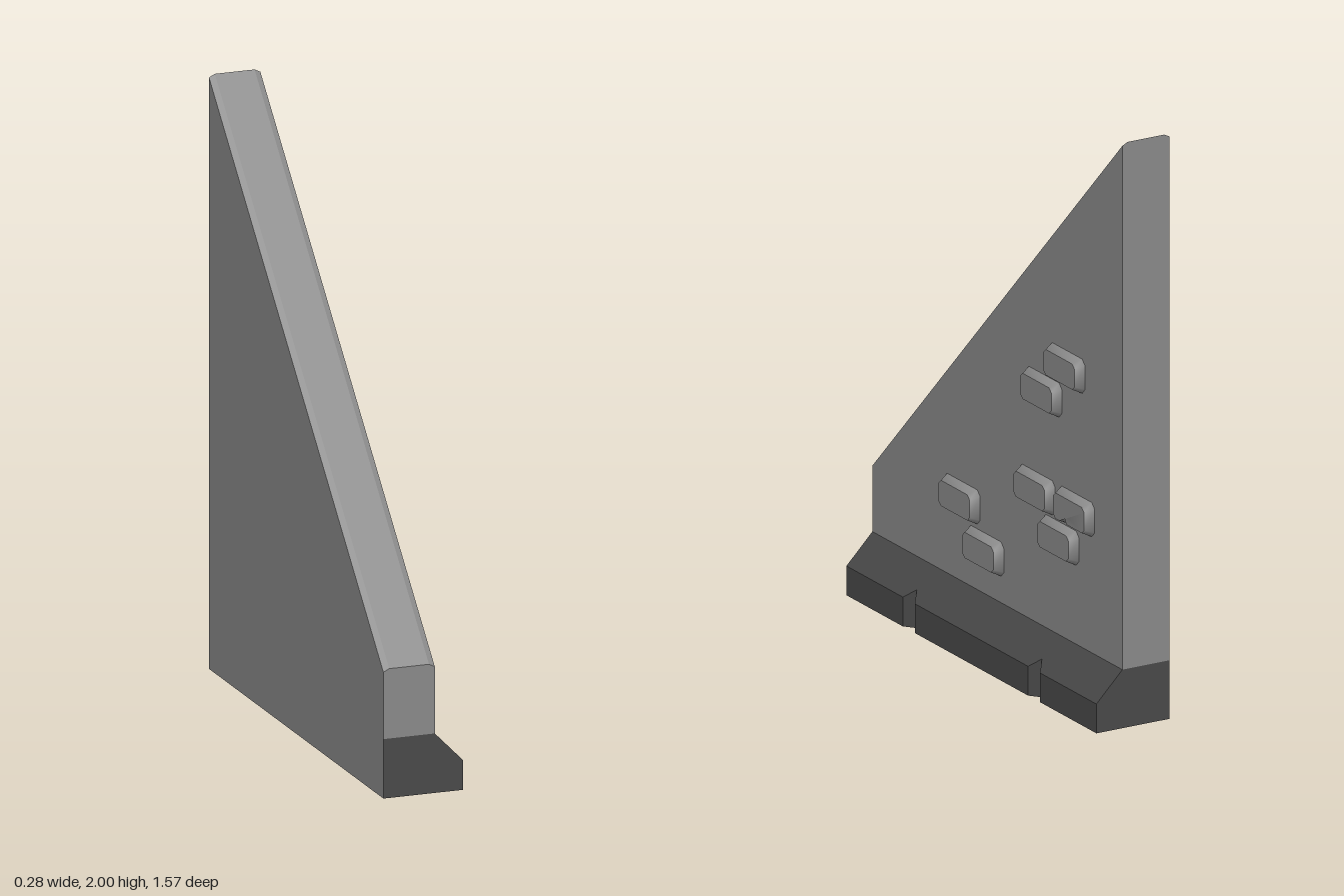
import * as THREE from 'three';
import { toCreasedNormals } from 'three/addons/utils/BufferGeometryUtils.js';

const HALF = 0.783;               // half length along z
const BACK = -0.1375, FACE = 0.04; // wall thickness in x
const TOE = 0.1375;               // outer face of the plinth

const wallMat = new THREE.MeshStandardMaterial({ color: 0x888888 });
const baseMat = new THREE.MeshStandardMaterial({ color: 0x484848 });

const shapeOf = (pts) => new THREE.Shape(pts.map(([x, y]) => new THREE.Vector2(x, y)));

function part(name, geometry, material) {
  const mesh = new THREE.Mesh(geometry, material);
  mesh.name = name;
  return mesh;
}

// Apply a rule to every vertex, then recompute flat normals
function reshape(geometry, rule) {
  const p = geometry.attributes.position;
  const v = new THREE.Vector3();
  for (let i = 0; i < p.count; i++) {
    rule(v.fromBufferAttribute(p, i));
    p.setXYZ(i, v.x, v.y, v.z);
  }
  geometry.computeVertexNormals();
  return geometry;
}

// Wall: section with bevelled top edges, its top sloping down towards the front
function wallGeometry() {
  const section = shapeOf([
    [BACK, 0.2], [FACE, 0.2], [FACE, 1.99], [FACE - 0.02, 2], [BACK + 0.02, 2], [BACK, 1.99],
  ]);
  const geo = new THREE.ExtrudeGeometry(section, { depth: 2 * HALF, bevelEnabled: false });
  return reshape(geo, (v) => {
    if (v.y > 0.3) v.y -= (v.z / (2 * HALF)) * 1.565;
    v.z -= HALF;
  });
}

// Plinth: sloped front, with two V notches cut into its outer face
function plinthGeometry() {
  const zs = [-HALF, -0.43, -0.392, -0.355, 0.355, 0.392, 0.43, HALF];
  const section = shapeOf([
    [BACK + 0.001, 0], [TOE, 0], [TOE, 0.1], [FACE, 0.2], [BACK + 0.001, 0.2],
  ]);
  const steps = zs.length - 1;
  const geo = new THREE.ExtrudeGeometry(section, { depth: steps, steps, bevelEnabled: false });
  return reshape(geo, (v) => {
    const i = Math.round(v.z);
    v.z = zs[i];
    if (v.x > 0.1 && (i === 2 || i === 5)) {
      v.x = TOE - 0.03;
      if (v.y > 0.05) v.y = 0.1308;
    }
  });
}

// Raised brick: softened corners, tapering outwards, optionally chipped along the bottom
function brickGeometry(chipped) {
  const w = 0.1125, h = 0.0585, c = 0.018;
  const chip = chipped ? [[-0.065, -h], [-0.04, -h + 0.008], [-0.015, -h]] : [];
  const outline = shapeOf([
    [-w, -h + c], [-w + c, -h], ...chip, [w - c, -h], [w, -h + c],
    [w, h - c], [w - c, h], [-w + c, h], [-w, h - c],
  ]);
  const geo = new THREE.ExtrudeGeometry(outline, { depth: 0.031, bevelEnabled: false });
  reshape(geo, (v) => {
    if (v.z < 0.02) return;
    const apex = chipped && Math.abs(v.x + 0.04) < 0.005;
    v.x *= 0.87;
    v.y *= 0.75;
    if (apex) v.y += 0.032;
  });
  return toCreasedNormals(geo, 0.95);
}

export function createModel() {
  const model = new THREE.Group();
  model.name = 'slopedWall';

  model.add(part('wall', wallGeometry(), wallMat));
  model.add(part('plinth', plinthGeometry(), baseMat));

  // Plain facing that carries the wall's back surface down to the ground
  const facing = part('backFacing', new THREE.BoxGeometry(0.001, 0.2, 2 * HALF), wallMat);
  facing.position.set(BACK + 0.0005, 0.1, 0);
  model.add(facing);

  // Exposed bricks: z, y, chipped
  const bricks = new THREE.Group();
  bricks.name = 'bricks';
  [
    [-0.437, 1.127], [-0.292, 1.002], [-0.25, 0.655], [-0.497, 0.655, true],
    [-0.399, 0.528], [0.22, 0.482], [0.071, 0.349],
  ].forEach(([z, y, chipped]) => {
    const brick = part('brick', brickGeometry(chipped), wallMat);
    brick.position.set(FACE, y, z);
    brick.rotation.y = Math.PI / 2;
    bricks.add(brick);
  });
  model.add(bricks);

  return model;
}
